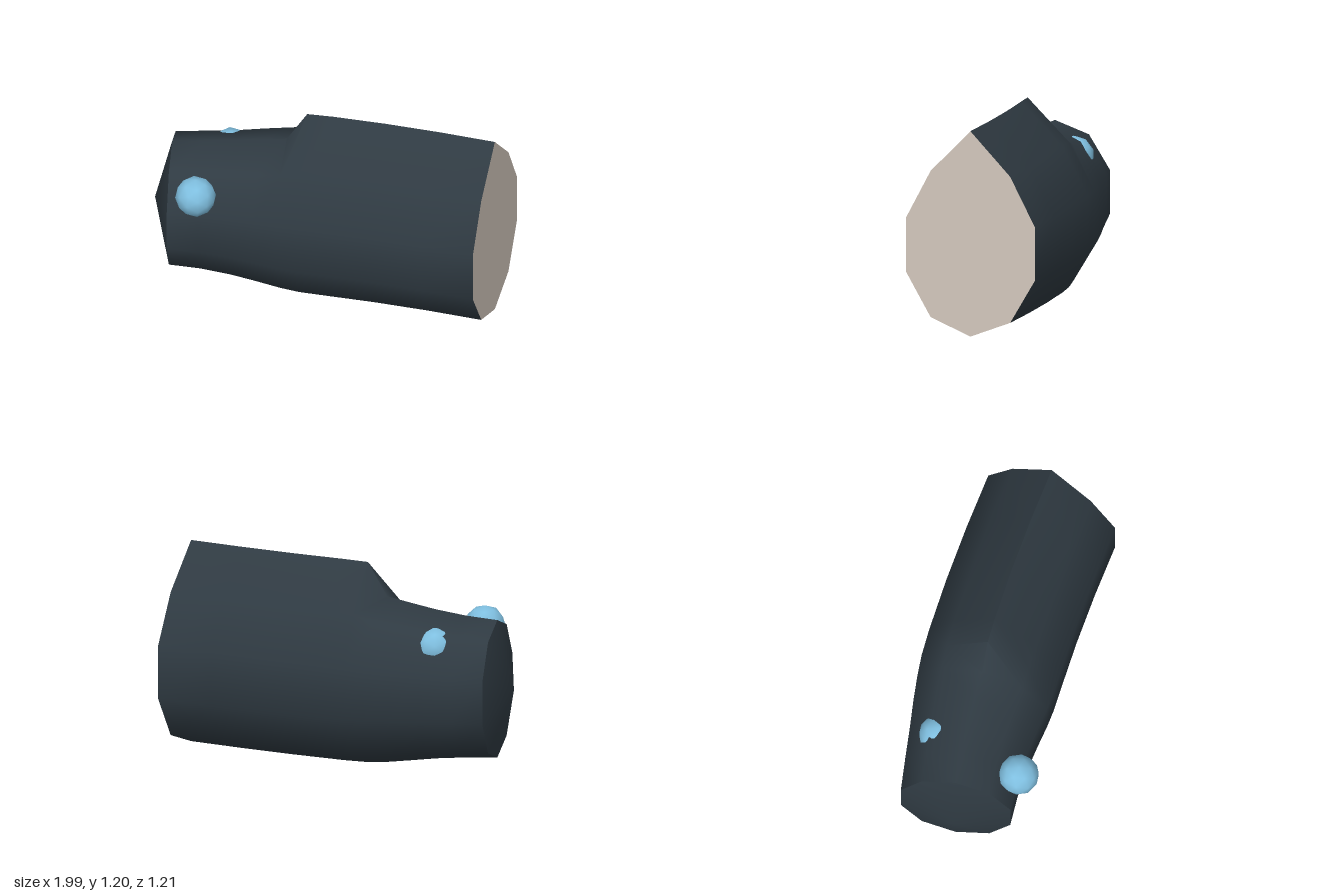
import * as THREE from 'three';
import { toCreasedNormals } from 'three/addons/utils/BufferGeometryUtils.js';

const SIDES = 10;
const MID_Y = 0.51;

// Cross-sections along the bent body: x, z, turn in degrees, radius, ridge height (0 to 1)
const SECTIONS = [
  [-0.895, 0.23, 19.3, 0.41, 0],
  [-0.72, 0.167, 18.2, 0.423, 0],
  [-0.55, 0.115, 17.2, 0.444, 0],
  [-0.4, 0.072, 16.2, 0.47, 0],
  [-0.26, 0.036, 15.2, 0.494, 0],
  [-0.145, 0.006, 14, 0.507, 1],
  [0, -0.03, 12.6, 0.51, 1],
  [0.3, -0.096, 10.2, 0.51, 1],
  [0.62, -0.155, 8.2, 0.51, 1],
  [0.945, -0.205, 6.5, 0.51, 1],
];

// One oval ring of points; the ridge lifts its top point and, slightly, its shoulders
function ring([x, z, turn, r, ridge]) {
  const a = THREE.MathUtils.degToRad(turn);
  return Array.from({ length: SIDES }, (_, k) => {
    const t = (k / SIDES) * Math.PI * 2;
    const side = 0.82 * r * Math.sin(t);
    const lift = k === 0 ? 0.18 : k === 1 || k === SIDES - 1 ? 0.028 : 0;
    return [x + side * Math.sin(a), MID_Y + r * Math.cos(t) + lift * ridge, z + side * Math.cos(a)];
  });
}

function fromTriangles(points) {
  const geometry = new THREE.BufferGeometry();
  geometry.setAttribute('position', new THREE.Float32BufferAttribute(points.flat(), 3));
  return toCreasedNormals(geometry, THREE.MathUtils.degToRad(60));
}

export function createModel() {
  const model = new THREE.Group();
  const skin = new THREE.MeshStandardMaterial({ name: 'dark slate', color: 0x2f3a42 });
  const cut = new THREE.MeshStandardMaterial({ name: 'pale beige', color: 0xd4c8bd });
  const blue = new THREE.MeshStandardMaterial({ name: 'light blue', color: 0x7fbfe0 });

  const add = (name, geometry, material) => {
    const mesh = new THREE.Mesh(geometry, material);
    mesh.name = name;
    model.add(mesh);
    return mesh;
  };

  const rings = SECTIONS.map(ring);
  const first = rings[0];
  const last = rings[rings.length - 1];
  const snoutTip = [-0.99, MID_Y, 0.26];
  const cutCentre = [0.945, 0.55, -0.205];
  const body = [];
  const cutFace = [];

  for (let k = 0; k < SIDES; k++) {
    const n = (k + 1) % SIDES;
    // Skin between neighbouring rings
    for (let i = 0; i < rings.length - 1; i++) {
      const p = rings[i];
      const q = rings[i + 1];
      body.push(p[k], p[n], q[k], p[n], q[n], q[k]);
    }
    // Blunt pointed nose and flat cut end
    body.push(snoutTip, first[n], first[k]);
    cutFace.push(cutCentre, last[k], last[n]);
  }
  add('body', fromTriangles(body), skin);
  add('cutEnd', fromTriangles(cutFace), cut);

  // Bulging front eye, and the back eye that barely breaks the skin
  const eye = new THREE.IcosahedronGeometry(0.118, 1);
  add('frontEye', eye, blue).position.set(-0.625, 0.785, 0.493);
  add('backEye', eye, blue).position.set(-0.642, 0.775, -0.028);

  return model;
}
